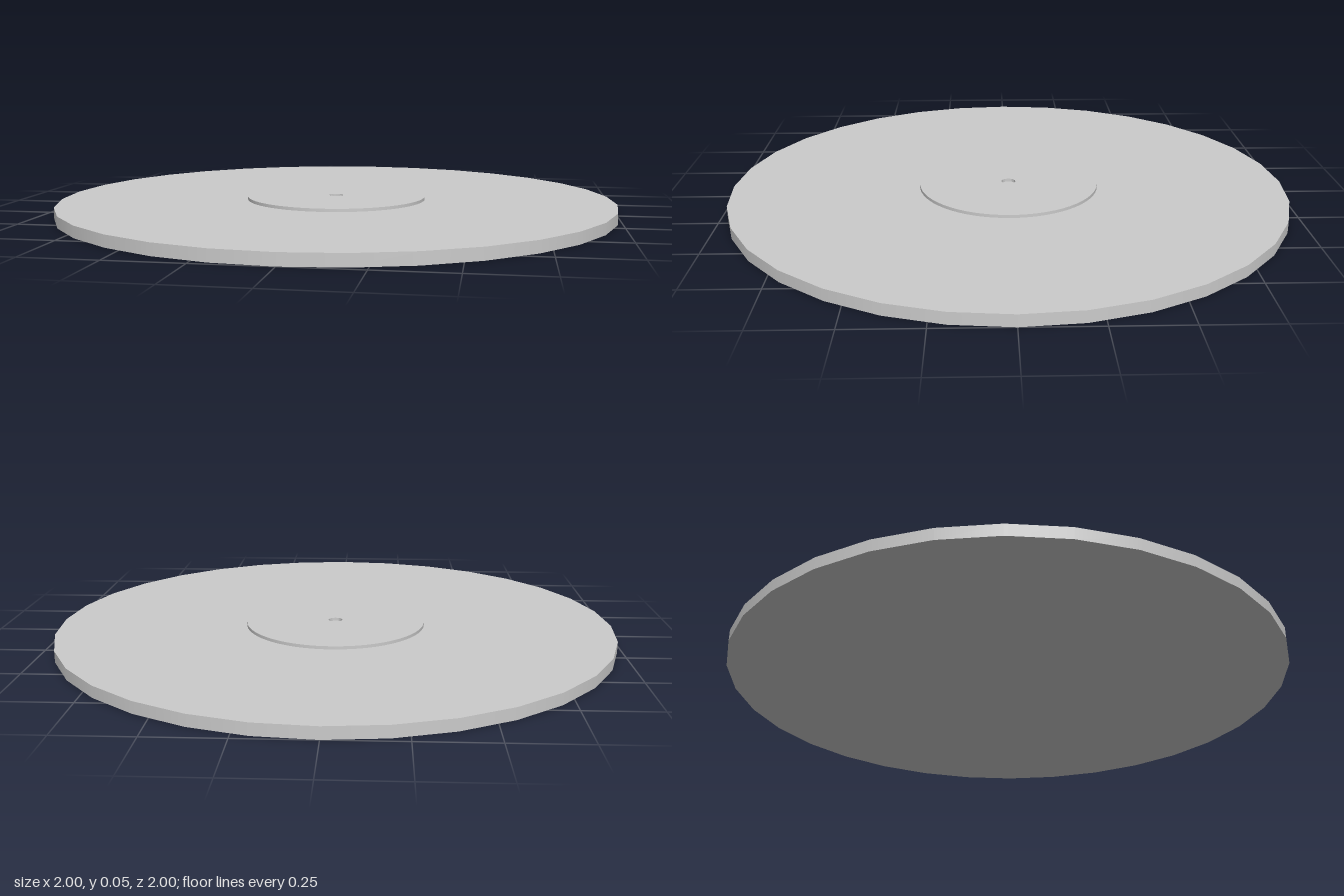
import * as THREE from 'three';
import { toCreasedNormals } from 'three/addons/utils/BufferGeometryUtils.js';

const DISC_RADIUS = 1, DISC_TOP = 0.04;
const LABEL_RADIUS = 0.323, LABEL_TOP = 0.051, HOLE_RADIUS = 0.025;

export function createModel() {
  const group = new THREE.Group();
  group.name = 'record';
  const material = new THREE.MeshStandardMaterial({ color: 0xcccccc });

  const add = (name, geometry) => {
    const mesh = new THREE.Mesh(geometry, material);
    mesh.name = name;
    group.add(mesh);
    return mesh;
  };

  // Flat disc standing on the ground
  add('disc', new THREE.CylinderGeometry(DISC_RADIUS, DISC_RADIUS, DISC_TOP, 32))
    .position.y = DISC_TOP / 2;

  // Raised centre label: outer wall, top face, then down into the spindle hole
  const profile = [
    [LABEL_RADIUS, DISC_TOP],
    [LABEL_RADIUS, LABEL_TOP],
    [HOLE_RADIUS, LABEL_TOP],
    [HOLE_RADIUS, DISC_TOP],
  ].map(([r, y]) => new THREE.Vector2(r, y));
  add('centreLabel', toCreasedNormals(new THREE.LatheGeometry(profile, 64), Math.PI / 6));

  return group;
}
